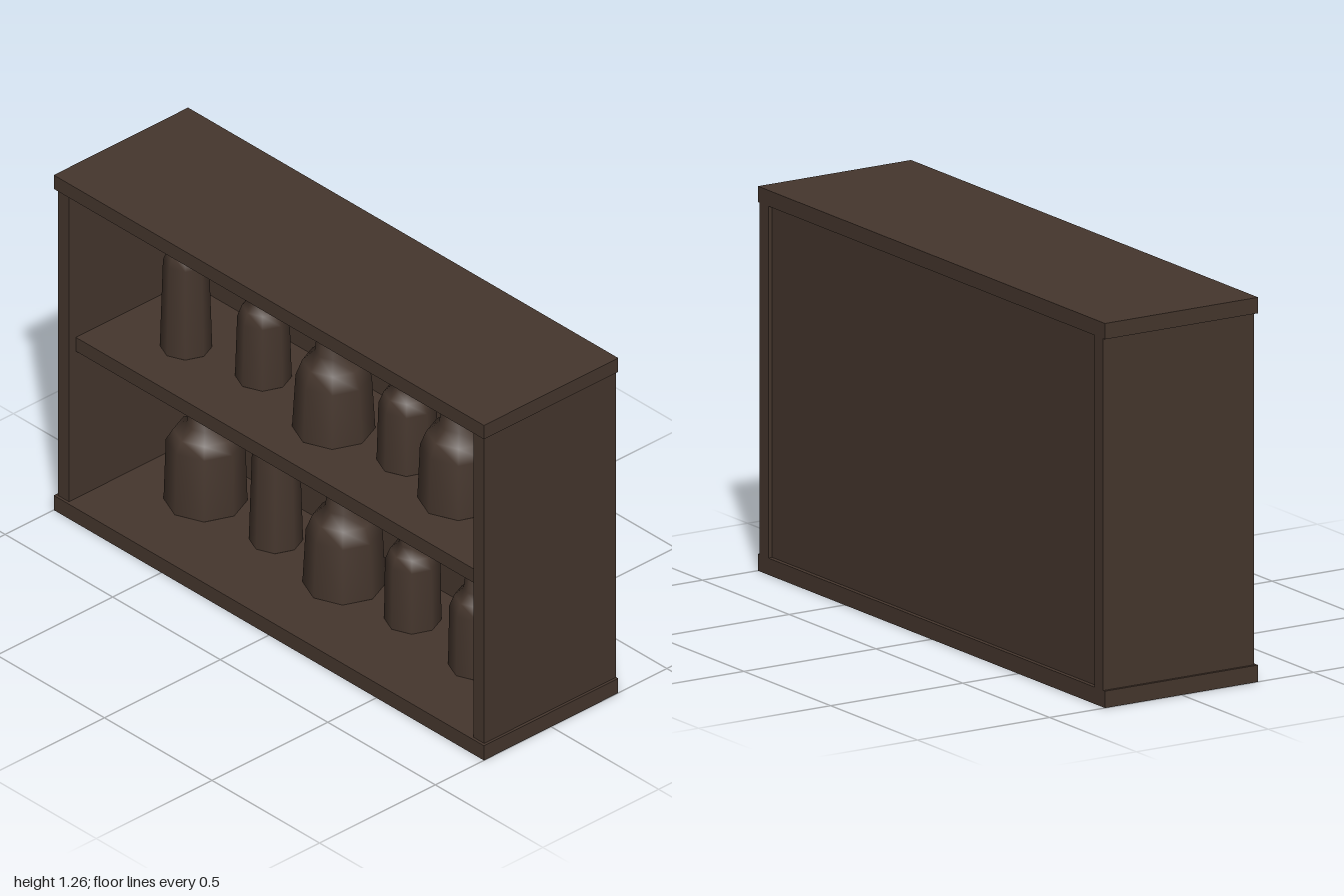
import * as THREE from 'three';

const wood = new THREE.MeshStandardMaterial({ color: 0x45362d });
wood.name = 'darkWood';

export function createModel() {
  const model = new THREE.Group();
  model.name = 'bottleCabinet';

  // Board given by its limits on each axis
  const board = (name, x0, x1, y0, y1, z0, z1) => {
    const mesh = new THREE.Mesh(new THREE.BoxGeometry(x1 - x0, y1 - y0, z1 - z0), wood);
    mesh.position.set((x0 + x1) / 2, (y0 + y1) / 2, (z0 + z1) / 2);
    mesh.name = name;
    model.add(mesh);
  };

  // Cabinet
  board('bottomBoard', -1, 1, 0, 0.055, -0.29, 0.29);
  board('topBoard', -1, 1, 1.208, 1.26, -0.29, 0.29);
  board('leftSide', 0.94, 0.99, 0.055, 1.208, -0.29, 0.28);
  board('rightSide', -0.99, -0.94, 0.055, 1.208, -0.29, 0.28);
  board('backPanel', -0.94, 0.94, 0.055, 1.208, -0.275, -0.23);
  board('shelf', -0.94, 0.94, 0.608, 0.66, -0.23, 0.25);

  // Bottle: base, body, rounded shoulder, tapered neck
  const bottle = (name, floor, [x, z, rBase, rBody, yBody, rNeck, yNeck, rTop, yTop]) => {
    const body = yBody - floor, neck = yNeck - floor, top = yTop - floor;
    const profile = [
      [0, 0], [rBase - 0.001, 0], [rBase, 0.001],
      [rBody, body],
      [rBody * 0.65 + rNeck * 0.35, body + (neck - body) * 0.6],
      [rNeck, neck],
      [rTop, top - 0.004], [rTop - 0.004, top], [0, top],
    ].map(([r, y]) => new THREE.Vector2(r, y));
    const mesh = new THREE.Mesh(new THREE.LatheGeometry(profile, 8), wood);
    mesh.position.set(x, floor, z);
    mesh.name = name;
    model.add(mesh);
  };

  // x, z, base radius, body radius, body top, neck radius, neck foot, rim radius, rim height
  const upper = [
    [-0.665, 0.03, 0.083, 0.073, 0.985, 0.03, 1.05, 0.022, 1.157],
    [-0.37, -0.03, 0.09, 0.083, 0.885, 0.041, 0.955, 0.031, 1.16],
    [0, 0.01, 0.132, 0.121, 0.855, 0.06, 0.95, 0.043, 1.11],
    [0.3, -0.03, 0.098, 0.092, 0.875, 0.045, 0.945, 0.031, 1.09],
    [0.575, 0, 0.134, 0.126, 0.86, 0.066, 0.945, 0.045, 1.06],
  ];
  const lower = [
    [-0.655, -0.045, 0.133, 0.126, 0.28, 0.06, 0.345, 0.044, 0.455],
    [-0.333, -0.05, 0.086, 0.076, 0.385, 0.035, 0.432, 0.025, 0.535],
    [0, -0.035, 0.132, 0.122, 0.255, 0.06, 0.345, 0.043, 0.51],
    [0.303, -0.05, 0.091, 0.088, 0.28, 0.044, 0.345, 0.031, 0.555],
    [0.64, -0.02, 0.096, 0.092, 0.275, 0.047, 0.345, 0.031, 0.48],
  ];
  upper.forEach((b, i) => bottle(`upperBottle${i + 1}`, 0.66, b));
  lower.forEach((b, i) => bottle(`lowerBottle${i + 1}`, 0.055, b));

  return model;
}
